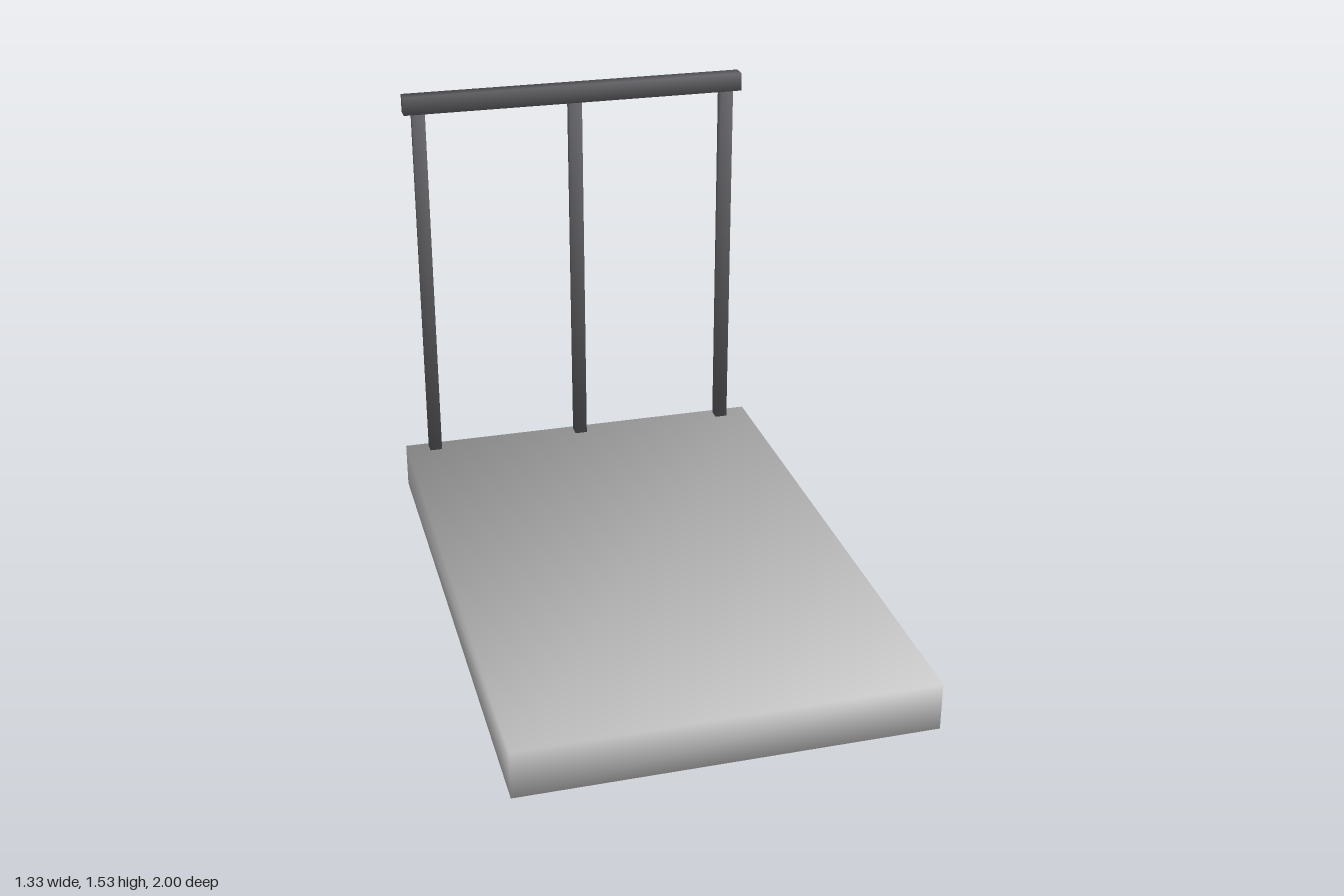
import * as THREE from 'three';

// Box between two corners; its normals are shared at the eight corners for smooth shading
function softBox(name, [x0, y0, z0], [x1, y1, z1], material) {
  const geometry = new THREE.BoxGeometry(x1 - x0, y1 - y0, z1 - z0);
  const { position, normal } = geometry.attributes;
  const n = new THREE.Vector3();
  for (let i = 0; i < position.count; i++) {
    n.set(Math.sign(position.getX(i)), Math.sign(position.getY(i)), Math.sign(position.getZ(i))).normalize();
    normal.setXYZ(i, n.x, n.y, n.z);
  }
  const mesh = new THREE.Mesh(geometry, material);
  mesh.name = name;
  mesh.position.set((x0 + x1) / 2, (y0 + y1) / 2, (z0 + z1) / 2);
  return mesh;
}

export function createModel() {
  const group = new THREE.Group();
  group.name = 'platformWithRailing';
  const grey = new THREE.MeshStandardMaterial({ color: 0xcccccc });
  const dark = new THREE.MeshStandardMaterial({ color: 0x626266 });

  const slabTop = 0.16, railBottom = 1.463;

  // Platform slab
  group.add(softBox('platform', [-0.665, 0, -1], [0.665, slabTop, 1], grey));

  // Railing along the back edge: three posts and a handrail
  const railing = new THREE.Group();
  railing.name = 'railing';
  const names = ['rightPost', 'middlePost', 'leftPost'];
  [-0.56, 0, 0.56].forEach((x, i) => {
    railing.add(softBox(names[i], [x - 0.022, slabTop, -0.983], [x + 0.022, railBottom, -0.939], dark));
  });
  railing.add(softBox('handrail', [-0.612, railBottom, -0.988], [0.612, 1.527, -0.936], dark));
  group.add(railing);

  return group;
}
